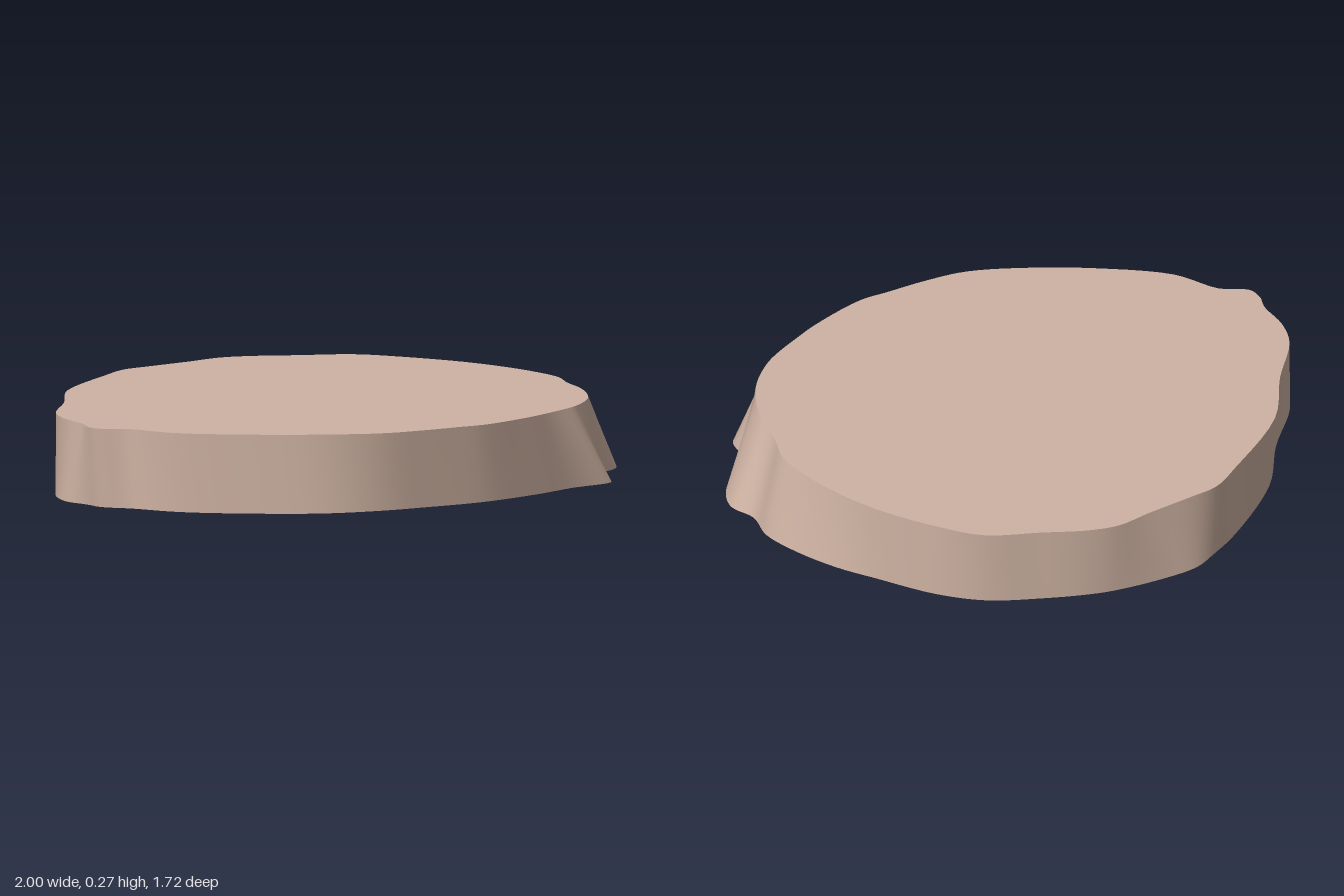
import * as THREE from 'three';

const HEIGHT = 0.267;
const STEPS = 180;

// Matched outlines [x, z], from the back round to +x, the front and -x
const RIM = [
  [0.12, -0.86], [0.22, -0.845], [0.38, -0.78], [0.55, -0.71], [0.66, -0.59], [0.79, -0.39],
  [0.86, -0.22], [0.895, -0.08], [0.907, 0.05], [0.875, 0.17], [0.855, 0.3], [0.81, 0.43],
  [0.76, 0.52], [0.69, 0.6], [0.63, 0.65], [0.5, 0.725], [0.4, 0.775], [0.2, 0.845],
  [0.1, 0.85], [-0.05, 0.857], [-0.2, 0.847], [-0.4, 0.77], [-0.6, 0.66], [-0.8, 0.51],
  [-0.89, 0.36], [-0.975, 0.305], [-0.985, 0.25], [-0.968, 0.18], [-0.968, 0.06], [-0.935, -0.06],
  [-0.8, -0.25], [-0.66, -0.48], [-0.4, -0.7], [-0.28, -0.785], [-0.18, -0.805], [0, -0.835],
];
const BASE = [
  [0.12, -0.83], [0.22, -0.81], [0.37, -0.76], [0.53, -0.69], [0.66, -0.575], [0.79, -0.39],
  [0.87, -0.27], [0.94, -0.12], [0.98, 0.03], [0.965, 0.15], [0.998, 0.25], [0.95, 0.37],
  [0.84, 0.45], [0.81, 0.53], [0.79, 0.63], [0.62, 0.675], [0.47, 0.735], [0.28, 0.79],
  [0.15, 0.81], [0, 0.812], [-0.16, 0.81], [-0.37, 0.77], [-0.58, 0.66], [-0.78, 0.51],
  [-0.88, 0.37], [-0.955, 0.29], [-0.97, 0.22], [-0.998, 0.13], [-0.98, 0.03], [-0.935, -0.06],
  [-0.79, -0.24], [-0.65, -0.46], [-0.4, -0.69], [-0.28, -0.77], [-0.19, -0.82], [-0.08, -0.835],
];

// Smooth closed loop through an outline at height y
function loop(outline, y) {
  const curve = new THREE.CatmullRomCurve3(outline.map(([x, z]) => new THREE.Vector3(x, y, z)), true);
  return Array.from({ length: STEPS }, (_, i) => curve.getPoint(i / STEPS));
}

// Flat cap facing up (side = 1) or down (side = -1)
function capGeometry(points, side, y) {
  const shape = new THREE.Shape(points.map((p) => new THREE.Vector2(p.x, -side * p.z)));
  return new THREE.ShapeGeometry(shape).rotateX(-side * Math.PI / 2).translate(0, y, 0);
}

// Smooth wall joining the two loops
function wallGeometry(upper, lower) {
  const index = [];
  for (let i = 0; i < STEPS; i++) {
    const j = (i + 1) % STEPS;
    index.push(i, j, STEPS + i, j, STEPS + j, STEPS + i);
  }
  const geometry = new THREE.BufferGeometry().setFromPoints([...upper, ...lower]);
  geometry.setIndex(index);
  geometry.computeVertexNormals();
  return geometry;
}

export function createModel() {
  const group = new THREE.Group();
  group.name = 'irregularSlab';
  const material = new THREE.MeshStandardMaterial({ color: 0xcfb3a3 });
  material.name = 'paleBrown';

  const upper = loop(RIM, HEIGHT);
  const lower = loop(BASE, 0);
  const add = (name, geometry) => {
    const mesh = new THREE.Mesh(geometry, material);
    mesh.name = name;
    group.add(mesh);
  };
  add('topFace', capGeometry(upper, 1, HEIGHT));
  add('bottomFace', capGeometry(lower, -1, 0));
  add('sideWall', wallGeometry(upper, lower));
  return group;
}
